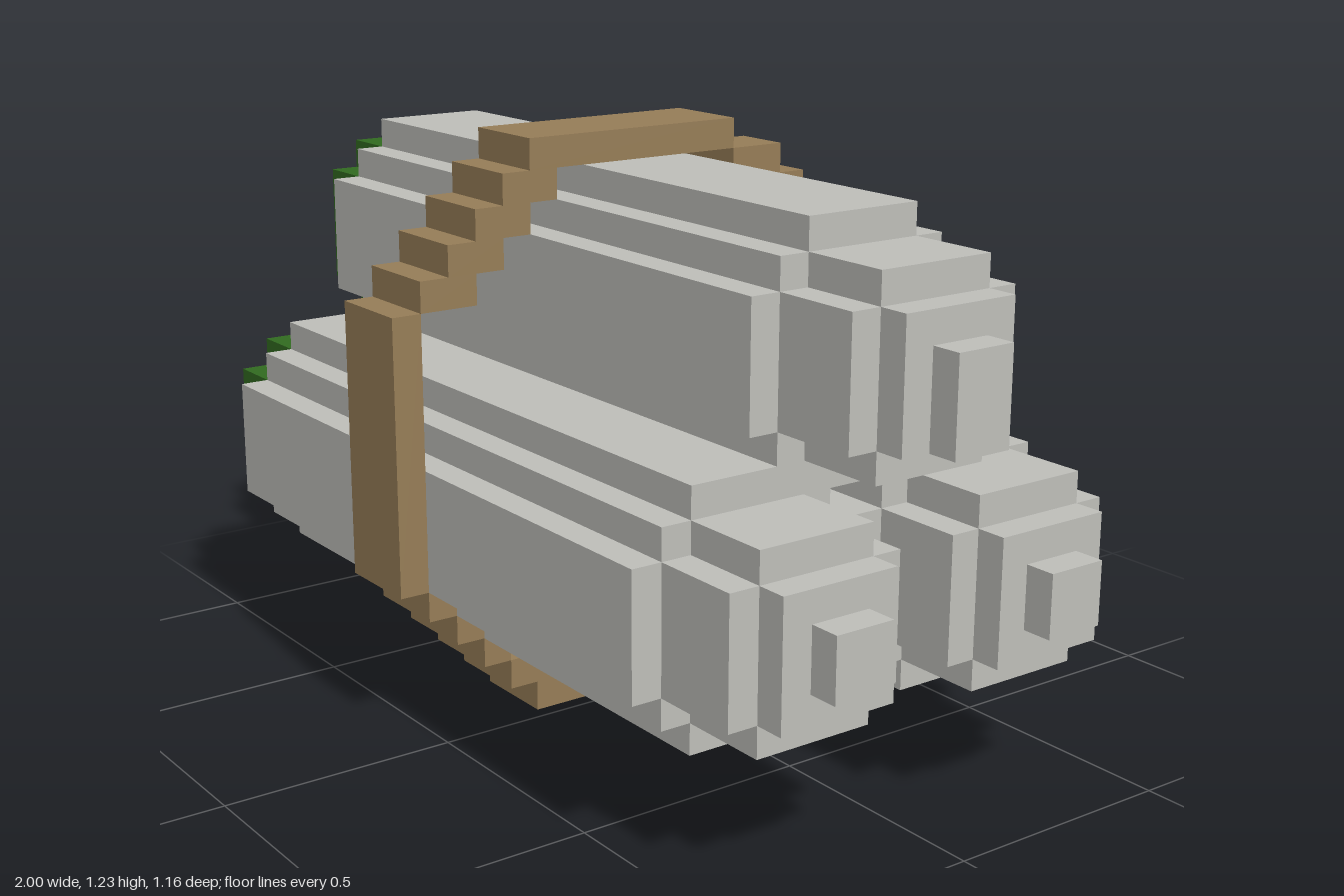
import * as THREE from 'three';

const U = 2 / 31; // one block
const grey = new THREE.MeshStandardMaterial({ color: 0xbebeb9 });
const green = new THREE.MeshStandardMaterial({ color: 0x316b20 });
const brown = new THREE.MeshStandardMaterial({ color: 0x967d57 });
grey.name = 'stick grey';
green.name = 'end cap green';
brown.name = 'strap brown';

// Box from block ranges; x runs 0..31, y starts at the ground, z is centred
function block(name, mat, x0, x1, y0, y1, z0, z1) {
  const geo = new THREE.BoxGeometry((x1 - x0) * U, (y1 - y0) * U, (z1 - z0) * U);
  const mesh = new THREE.Mesh(geo, mat);
  mesh.position.set((x0 + x1) / 2 * U - 1, (y0 + y1) / 2 * U, (z0 + z1) / 2 * U);
  mesh.name = name;
  return mesh;
}

// Stepped round prism along x; corners are the steps of one quadrant
function steppedPrism(name, mat, x0, x1, corners) {
  const mirrored = corners.slice().reverse();
  const outline = [
    ...corners,
    ...mirrored.map(([a, b]) => [-a, b]),
    ...corners.map(([a, b]) => [-a, -b]),
    ...mirrored.map(([a, b]) => [a, -b]),
  ].map(([a, b]) => new THREE.Vector2(a * U, b * U));
  const geo = new THREE.ExtrudeGeometry(new THREE.Shape(outline), { depth: (x1 - x0) * U, bevelEnabled: false });
  geo.rotateY(Math.PI / 2);
  const mesh = new THREE.Mesh(geo, mat);
  mesh.position.x = x0 * U - 1;
  mesh.name = name;
  return mesh;
}

const WIDE = [[4, 2], [3, 2], [3, 3], [2, 3], [2, 4]];
const NARROW = [[3, 2], [2, 2], [2, 3]];

// One stick: green cap, long body, stepped nose and tip
function stick(name, y, z, tipTop) {
  const g = new THREE.Group();
  g.name = name;
  g.add(
    steppedPrism('endCap', green, 0, 2, NARROW),
    steppedPrism('body', grey, 2, 26, WIDE),
    steppedPrism('nose', grey, 26, 29, NARROW),
    steppedPrism('noseStep', grey, 29, 30, [[2, 2]]),
    block('tip', grey, 30, 31, tipTop[0], tipTop[1], -1, 1),
  );
  g.position.set(0, y * U, z * U);
  return g;
}

export function createModel() {
  const model = new THREE.Group();
  model.name = 'strappedBundle';
  model.add(
    stick('topStick', 14, 0, [-2, 1]),
    stick('frontStick', 7, 4, [-1, 1]),
    stick('backStick', 7, -4, [-1, 1]),
  );

  // Strap: flat runs joined by stairs
  const strap = new THREE.Group();
  strap.name = 'strap';
  const add = (name, y0, y1, z0, z1, x0 = 12) => strap.add(block(name, brown, x0, 15, y0, y1, z0, z1));
  add('strapTop', 18, 19, -4, 4);
  add('strapBottom', 0, 1, -5, 4);
  add('strapFront', 5, 14, 8, 9);
  add('strapBack', 5, 14, -9, -8);
  for (let i = 0; i < 4; i++) {
    add('upperFrontStep', 17 - i, 18 - i, 3 + i, 5 + i);
    add('upperBackStep', 17 - i, 18 - i, -5 - i, -4 - i);
    add('upperBackOuterStep', 17 - i, 18 - i, -6 - i, -5 - i, 13); // narrower outer layer
    add('lowerFrontStep', 1 + i, 2 + i, i ? 4 + i : 3, 5 + i);
    add('lowerBackStep', 1 + i, 2 + i, -5 - i, -4 - i);
  }
  model.add(strap);
  return model;
}
